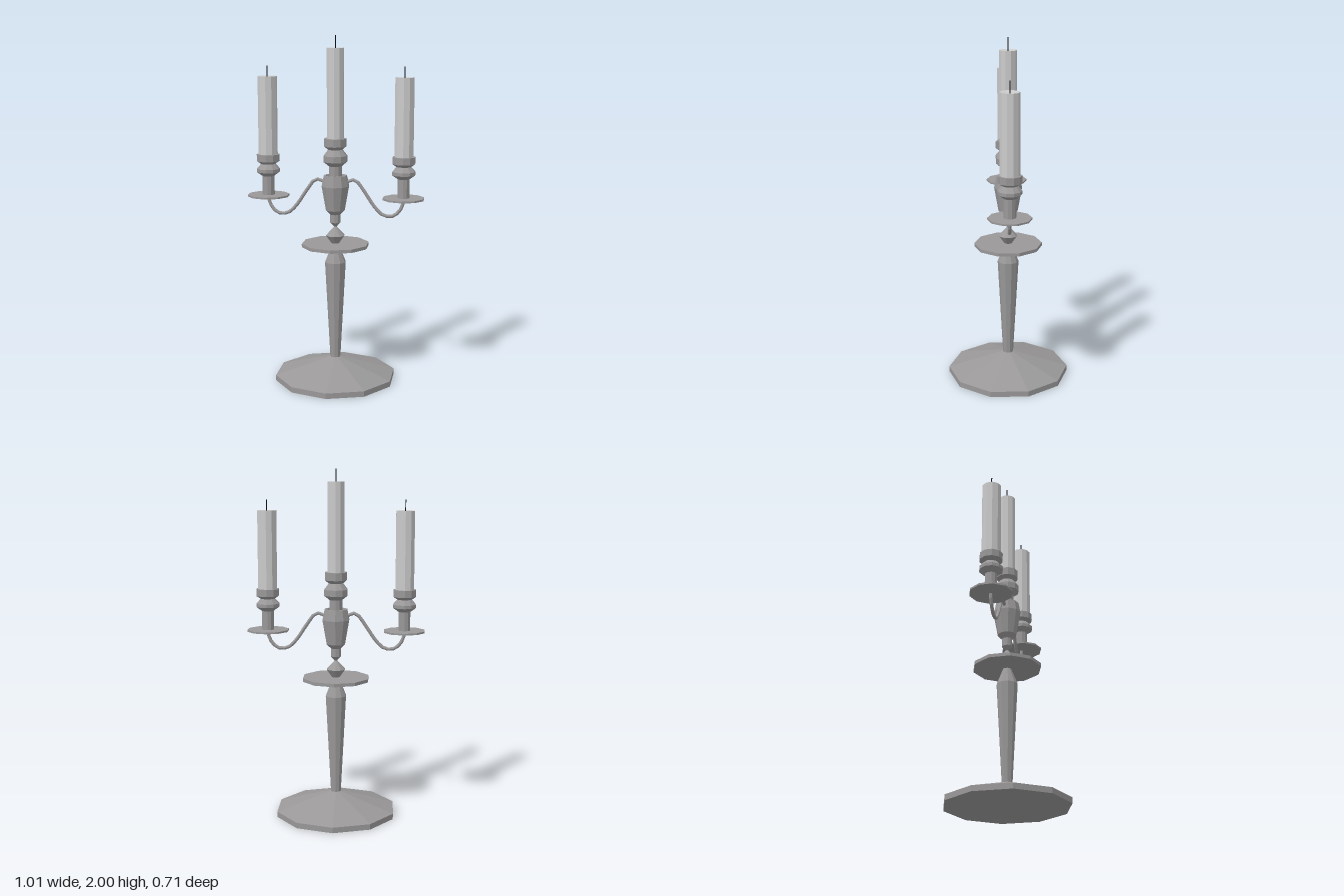
import * as THREE from 'three';

const makeMaterial = (color) => new THREE.MeshStandardMaterial({ color, flatShading: true, side: THREE.DoubleSide });
const metal = makeMaterial(0x9a9898);
const wax = makeMaterial(0xf0f0f0);
const char = makeMaterial(0x0c0c0c);
const SIDES = 10;

function add(parent, name, geometry, material, x = 0, y = 0) {
  const mesh = new THREE.Mesh(geometry, material);
  mesh.name = name;
  mesh.position.set(x, y, 0);
  parent.add(mesh);
}

// Ten-sided turned part from [radius, height] pairs, bottom to top
function turned(parent, name, profile, x = 0, material = metal) {
  const points = profile.map(([r, y]) => new THREE.Vector2(r, y));
  add(parent, name, new THREE.LatheGeometry(points, SIDES), material, x);
}

// Candle with a slightly dished top, and its wick
function addCandle(parent, x, radius, bottom, top, wickTop) {
  turned(parent, 'candle', [[0, bottom], [radius, bottom], [radius, top], [0, top - 0.008]], x, wax);
  const length = wickTop - top + 0.01;
  add(parent, 'wick', new THREE.CylinderGeometry(0.003, 0.003, length, 6), char, x, wickTop - length / 2);
}

export function createModel() {
  const model = new THREE.Group();
  model.name = 'candelabrum';

  // Foot, tapering column and drip plate
  turned(model, 'foot', [[0, 0], [0.353, 0], [0.353, 0.032], [0.03, 0.132], [0, 0.132]]);
  turned(model, 'column', [[0.03, 0.13], [0.061, 0.705], [0.022, 0.802]]);
  turned(model, 'dripPlate', [[0, 0.798], [0.196, 0.798], [0.196, 0.817], [0, 0.817]]);

  // Double-cone knob and the urn that carries the arms
  turned(model, 'knob', [[0.022, 0.815], [0.055, 0.862], [0.006, 0.915]]);
  turned(model, 'urn', [
    [0.006, 0.912], [0.03, 0.938], [0.03, 0.985], [0.055, 1.01],
    [0.08, 1.15], [0.067, 1.212], [0.056, 1.212], [0.05, 1.19], [0, 1.19],
  ]);

  // Central socket and candle
  turned(model, 'centreSocket', [
    [0.038, 1.19], [0.038, 1.265], [0.069, 1.29], [0.069, 1.325], [0.042, 1.36],
    [0.064, 1.378], [0.064, 1.423], [0, 1.423],
  ]);
  addCandle(model, 0, 0.049, 1.42, 1.93, 2.0);

  // Curved arms, each with a plate, socket and candle
  for (const side of [1, -1]) {
    const arm = new THREE.Group();
    arm.name = side > 0 ? 'leftArm' : 'rightArm';
    const x = side * 0.39;
    const path = new THREE.CatmullRomCurve3([
      [0.39, 1.088], [0.382, 1.038], [0.335, 0.986], [0.277, 0.988], [0.23, 1.03],
      [0.165, 1.125], [0.118, 1.184], [0.085, 1.186], [0.05, 1.155],
    ].map(([px, py]) => new THREE.Vector3(side * px, py, 0)));
    add(arm, 'branch', new THREE.TubeGeometry(path, 16, 0.01, 8), metal);
    turned(arm, 'plate', [[0, 1.082], [0.121, 1.082], [0.121, 1.092], [0, 1.092]], x);
    turned(arm, 'socket', [
      [0.035, 1.09], [0.035, 1.2], [0.067, 1.223], [0.067, 1.242], [0.042, 1.27],
      [0.066, 1.286], [0.066, 1.326], [0, 1.326],
    ], x);
    addCandle(arm, x, 0.055, 1.32, 1.77, 1.83);
    model.add(arm);
  }
  return model;
}
